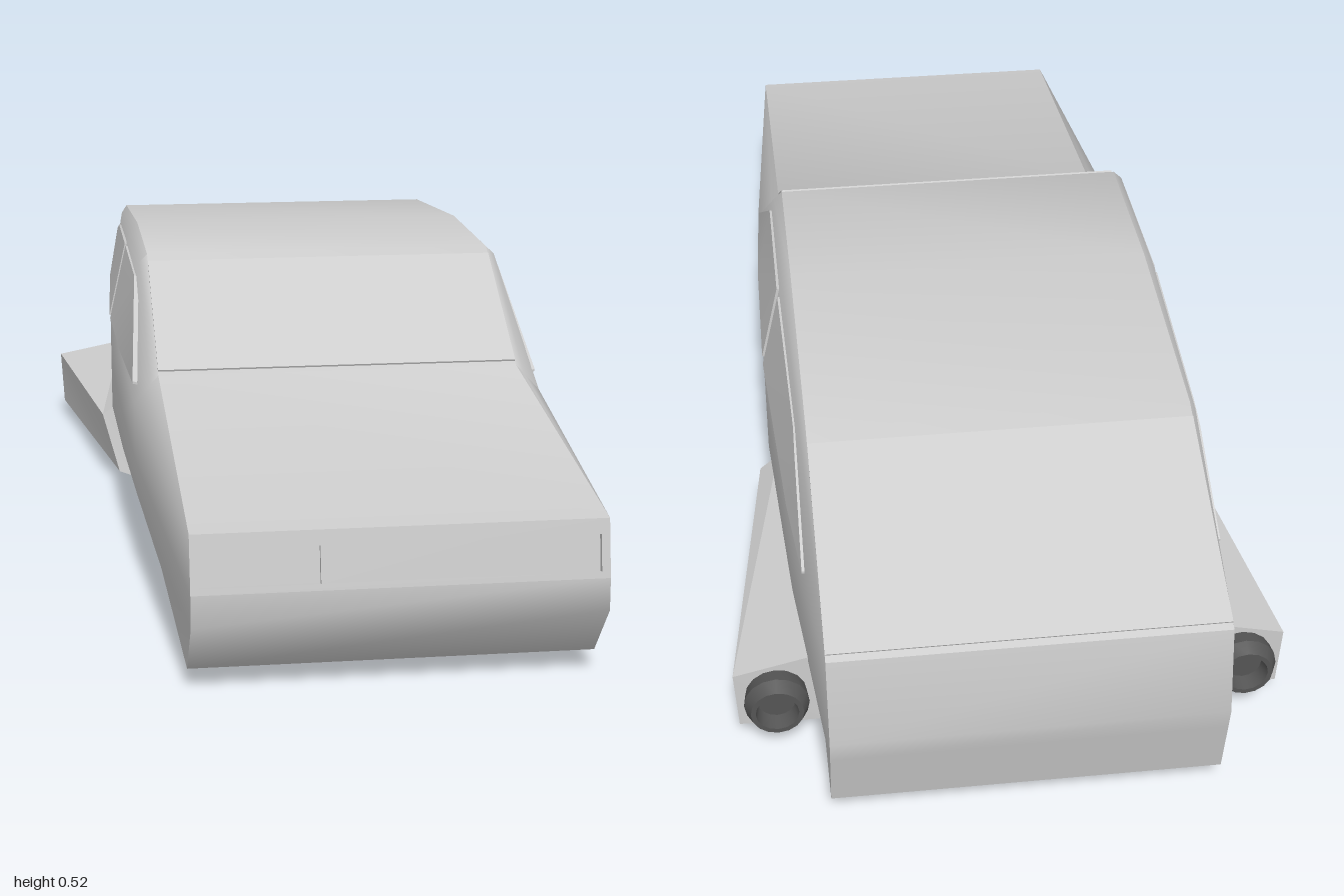
import * as THREE from 'three';
import { toCreasedNormals } from 'three/addons/utils/BufferGeometryUtils.js';

const V = (x, y, z) => new THREE.Vector3(x, y, z);
const grey = () => new THREE.MeshStandardMaterial({ color: 0xcccccc });
const mirror = (p) => V(-p.x, p.y, p.z);
const mirrorQuads = (quads) => quads.map((q) => q.map(mirror).reverse());

// Geometry from a list of four-cornered faces, anticlockwise from outside
function fromQuads(quads, crease) {
  const pos = [];
  for (const [a, b, c, d] of quads) for (const p of [a, b, c, a, c, d]) pos.push(p.x, p.y, p.z);
  const g = new THREE.BufferGeometry();
  g.setAttribute('position', new THREE.Float32BufferAttribute(pos, 3));
  return toCreasedNormals(g, crease);
}

// Thin pane between a lower and an upper edge (left to right from outside), with a rim
function paneQuads(low, high, offset) {
  const up = (p) => p.clone().add(offset), down = (p) => p.clone().sub(offset);
  const quads = [];
  for (let i = 0; i < low.length - 1; i++) {
    quads.push([low[i], low[i + 1], high[i + 1], high[i]].map(up));
  }
  const loop = [...low, ...[...high].reverse()];
  loop.forEach((p, i) => {
    const q = loop[(i + 1) % loop.length];
    quads.push([down(p), down(q), up(q), up(p)]);
  });
  return quads;
}

// Half cross-sections, nose to tail: sill, lower side, mid side, belt, roof rail, roof edge
const at = (z, pts) => pts.map(([x, y]) => V(x, y, z));
const sections = [
  [V(0.31, 0.03, 0.92), V(0.31, 0.12, 1), V(0.31, 0.17, 1),
    V(0.31, 0.258, 0.985), V(0.31, 0.258, 0.985), V(0.31, 0.258, 0.985)],
  at(0.36, [[0.31, 0.003], [0.35, 0.14], [0.352, 0.2], [0.352, 0.3], [0.324, 0.331], [0.31, 0.346]]),
  at(0.1, [[0.31, 0], [0.36, 0.15], [0.36, 0.22], [0.36, 0.325], [0.325, 0.495], [0.31, 0.509]]),
  at(-0.2, [[0.31, 0.005], [0.365, 0.155], [0.365, 0.24], [0.365, 0.33], [0.325, 0.503], [0.31, 0.518]]),
  at(-0.6, [[0.31, 0.025], [0.345, 0.155], [0.345, 0.24], [0.345, 0.333], [0.32, 0.475], [0.31, 0.49]]),
  [V(0.31, 0.045, -0.97), V(0.31, 0.15, -0.992), V(0.31, 0.19, -1),
    V(0.31, 0.337, -0.975), V(0.31, 0.337, -0.975), V(0.31, 0.337, -0.975)],
];

// Side window outlines: lower and upper edges, front to back
const points = (list) => list.map((p) => V(...p));
const sideWindows = {
  FrontWindow: [
    points([[0.348, 0.324, 0.325], [0.3586, 0.332, 0.1], [0.363, 0.336, -0.175]]),
    points([[0.348, 0.328, 0.325], [0.33, 0.47, 0.1], [0.331, 0.477, -0.175]])],
  RearWindow: [
    points([[0.363, 0.337, -0.2], [0.3464, 0.339, -0.55], [0.344, 0.339, -0.6], [0.329, 0.337, -0.77]]),
    points([[0.331, 0.477, -0.2], [0.3246, 0.457, -0.55], [0.326, 0.44, -0.6], [0.3287, 0.341, -0.77]])],
};

export function createModel() {
  const car = new THREE.Group();
  const add = (name, geometry, parent = car) => {
    const mesh = new THREE.Mesh(geometry, grey());
    mesh.name = name;
    parent.add(mesh);
    return mesh;
  };
  const addPair = (name, quads, crease) => {
    add('left' + name, fromQuads(quads, crease));
    add('right' + name, fromQuads(mirrorQuads(quads), crease));
  };

  // Body shell lofted through the mirrored sections
  const rings = sections.map((s) => [...s, ...s.map(mirror).reverse()]);
  const shell = [];
  for (let i = 0; i < rings.length - 1; i++) {
    for (let j = 0; j < 12; j++) {
      const k = (j + 1) % 12;
      shell.push([rings[i][j], rings[i + 1][j], rings[i + 1][k], rings[i][k]]);
    }
  }
  add('bodyShell', fromQuads(shell, 0.75));

  // Nose and tail faces, strip by strip
  const nose = sections[0], tail = sections[5];
  const across = (s, j) => [mirror(s[j]), s[j], s[j + 1], mirror(s[j + 1])];
  add('lowerNose', fromQuads([0, 1].map((j) => across(nose, j)), 0.8));
  add('tailPanel', fromQuads([0, 1, 2].map((j) => across(tail, j).reverse()), 0.5));

  // Upper nose panel with two headlight openings
  const height = nose[2].distanceTo(nose[3]);
  const outline = (pts) => pts.map(([x, y]) => new THREE.Vector2(x, y));
  const panel = new THREE.Shape(outline([[-0.31, 0], [0.31, 0], [0.31, height], [-0.31, height]]));
  const front = new THREE.Group();
  front.name = 'noseFront';
  front.position.copy(V(0, nose[2].y, nose[2].z));
  front.rotation.x = -Math.atan2(nose[2].z - nose[3].z, nose[3].y - nose[2].y);
  car.add(front);
  for (const s of [-1, 1]) {
    const [x0, x1, y0, y1] = [0.12 * s, 0.297 * s, 0.01, 0.066];
    panel.holes.push(new THREE.Path(outline([[x0, y0], [x0, y1], [x1, y1], [x1, y0]])));
    const lamp = add(s > 0 ? 'leftHeadlight' : 'rightHeadlight', new THREE.PlaneGeometry(0.18, 0.06), front);
    lamp.position.set(0.2085 * s, 0.038, -0.009);
  }
  add('nosePanel', new THREE.ExtrudeGeometry(panel, { depth: 0.01, bevelEnabled: false }), front)
    .position.z = -0.01;

  // Windscreen and rear window; s is the direction of the right-hand end seen from outside
  const screen = (name, base, roof, s) => {
    const edge = (t) => {
      const p = base[5].clone().lerp(roof[5], t);
      return [V(-s * p.x, p.y, p.z), V(s * p.x, p.y, p.z)];
    };
    add(name, fromQuads(paneQuads(edge(0.03), edge(0.93), V(0, 0.003, 0.0015 * s)), 0.3));
  };
  screen('windscreen', sections[1], sections[2], 1);
  screen('rearWindow', sections[5], sections[4], -1);

  // Side windows
  for (const [name, [low, high]] of Object.entries(sideWindows)) {
    addPair(name, paneQuads(low, high, V(0.004, 0.001, 0)), 0.3);
  }

  // Flared side pods: inner bottom, inner top, outer top, outer bottom, front then rear
  const pod = points([
    [0.31, 0.006, -0.2], [0.35, 0.155, -0.23], [0.383, 0.131, -0.235], [0.353, 0.02, -0.21],
    [0.3, 0.022, -0.77], [0.32, 0.162, -0.77], [0.452, 0.135, -0.775], [0.446, 0.03, -0.775],
  ]);
  const podQuads = [[3, 2, 1, 0], [4, 5, 6, 7]];
  for (let k = 0; k < 4; k++) podQuads.push([k, (k + 1) % 4, (k + 1) % 4 + 4, k + 4]);
  addPair('Pod', podQuads.map((q) => q.map((i) => pod[i])), 0.4);

  // Dark exhaust nozzles at the rear of the pods
  const nozzleProfile = outline(
    [[0.05, 0], [0.053, 0.025], [0.043, 0.047], [0.035, 0.047], [0.03, 0.02], [0, 0.02]]);
  for (const s of [1, -1]) {
    const nozzle = add(s > 0 ? 'leftNozzle' : 'rightNozzle',
      toCreasedNormals(new THREE.LatheGeometry(nozzleProfile, 16), 0.5));
    nozzle.material.color.set(0x555555);
    nozzle.material.side = THREE.DoubleSide;
    nozzle.rotation.x = -Math.PI / 2;
    nozzle.position.set(0.384 * s, 0.09, -0.772);
  }
  return car;
}
